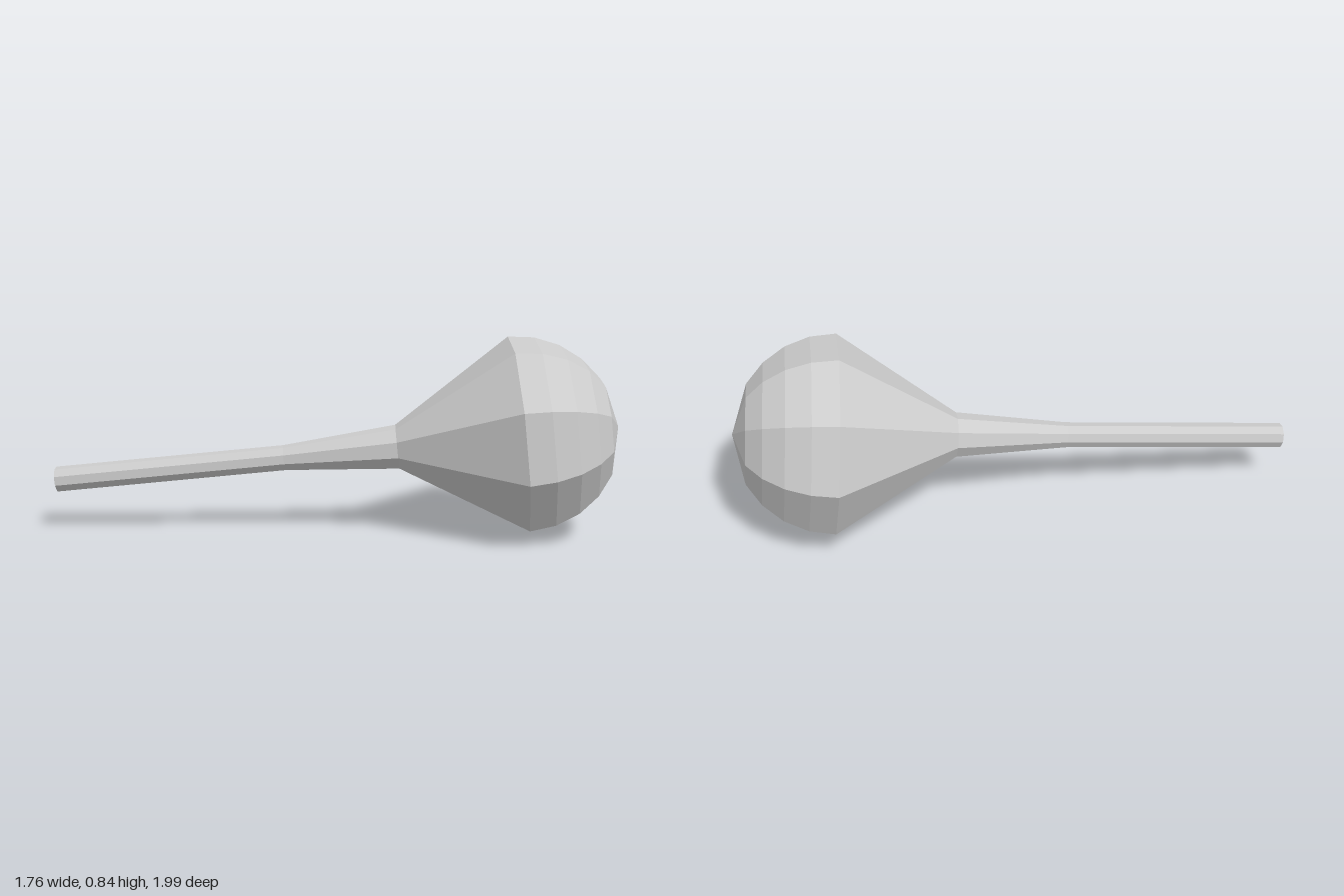
import * as THREE from 'three';

const SIDES = 9;
const PHASE = THREE.MathUtils.degToRad(87);
const material = new THREE.MeshStandardMaterial({ color: 0xcccccc, flatShading: true });

// Nine-sided turned part from [radius, distance along axis] pairs
function turned(name, profile) {
  const points = profile.map(([r, y]) => new THREE.Vector2(r, y));
  const mesh = new THREE.Mesh(new THREE.LatheGeometry(points, SIDES, PHASE), material);
  mesh.name = name;
  return mesh;
}

export function createModel() {
  const model = new THREE.Group();
  model.name = 'bulbWithStem';

  // The axis runs from the stem tip to the centre of the bulb's rim
  const tip = new THREE.Vector3(-0.84, 0.225, -0.965);
  const rimCentre = new THREE.Vector3(0.45, 0.43, 0.56);
  const axis = rimCentre.clone().sub(tip);
  const length = axis.length();
  axis.normalize();
  const side = new THREE.Vector3(axis.z, 0, -axis.x).normalize();
  const third = side.clone().cross(axis);

  // Stem: capped tip, straight shaft, flared neck
  const neck = [0.098, 1.49];
  const stem = turned('stem', [[0, 0], [0.056, 0], [0.056, 1.0], neck]);

  // Bulb: cone behind the rim, then a faceted dome closed by a wide fan
  const radius = 0.43;
  const cone = turned('bulbCone', [neck, [radius, length]]);
  const dome = turned('bulbDome', [0, 15, 30, 45, 60, 90].map((deg) => {
    const a = THREE.MathUtils.degToRad(deg);
    return [deg === 90 ? 0 : radius * Math.cos(a), length + radius * Math.sin(a)];
  }));

  const body = new THREE.Group();
  body.name = 'body';
  body.add(stem, cone, dome);
  body.quaternion.setFromRotationMatrix(new THREE.Matrix4().makeBasis(side, axis, third));
  body.position.copy(tip);
  model.add(body);
  return model;
}
